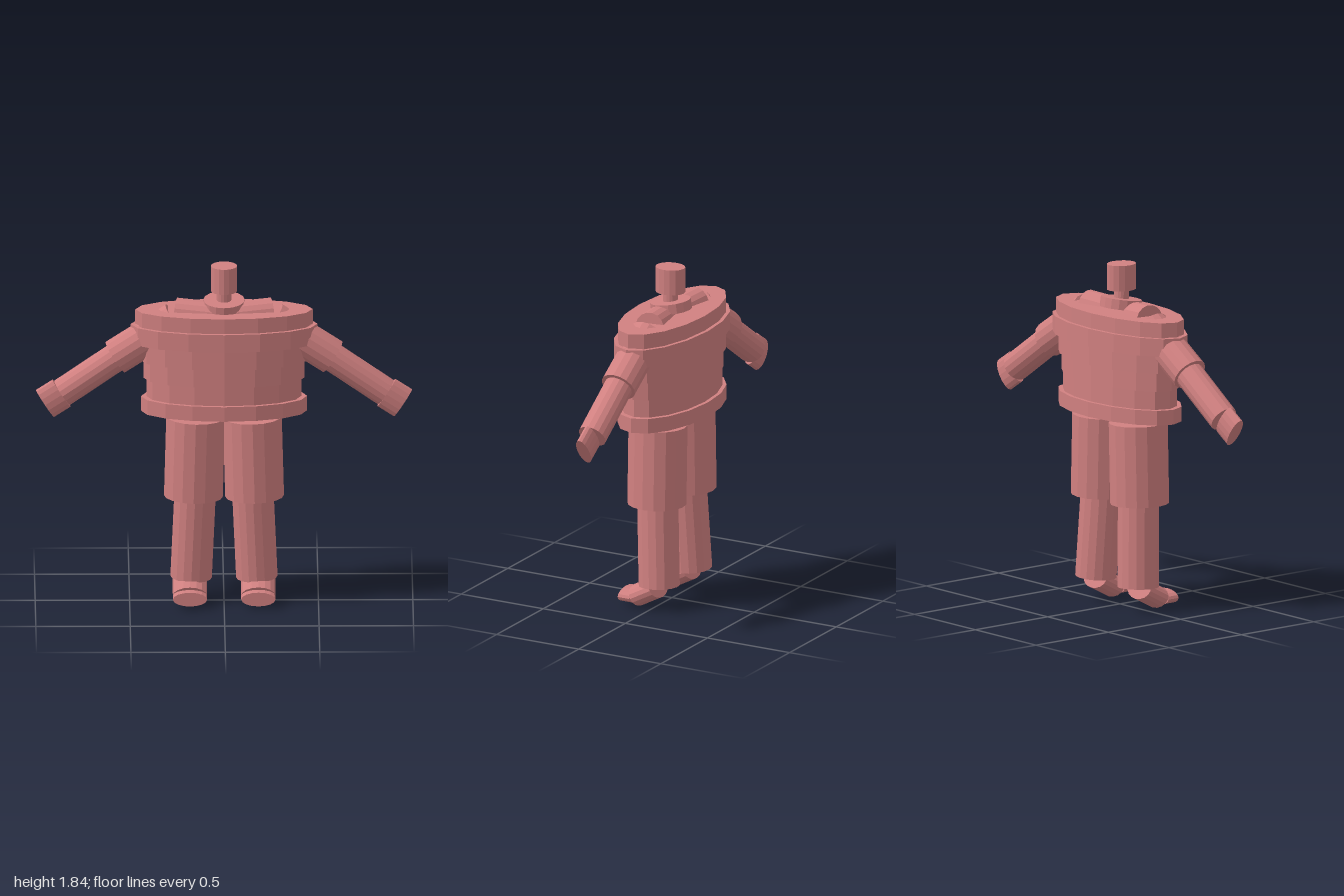
import * as THREE from 'three';

const SIDES = 16;
const UP = new THREE.Vector3(0, 1, 0);

export function createModel() {
  const model = new THREE.Group();
  model.name = 'mannequin';
  const skin = new THREE.MeshStandardMaterial({ color: 0xd08080, flatShading: true });
  skin.name = 'dusty pink';

  // Elliptic cylinder running from point a to point b
  function segment(name, a, b, rx, rz = rx) {
    const start = new THREE.Vector3(...a);
    const end = new THREE.Vector3(...b);
    const axis = end.clone().sub(start);
    const geometry = new THREE.CylinderGeometry(1, 1, axis.length(), SIDES);
    geometry.scale(rx, 1, rz);
    const mesh = new THREE.Mesh(geometry, skin);
    mesh.name = name;
    mesh.position.copy(start).add(end).multiplyScalar(0.5);
    mesh.quaternion.setFromUnitVectors(UP, axis.normalize());
    model.add(mesh);
  }

  // Torso: stacked oval slabs [name, bottom, top, half width, half depth]
  const slabs = [
    ['hips', 1.05, 1.13, 0.44, 0.22],
    ['waist', 1.13, 1.23, 0.41, 0.2],
    ['belly', 1.23, 1.33, 0.425, 0.2],
    ['ribs', 1.33, 1.43, 0.445, 0.213],
    ['chest', 1.43, 1.527, 0.495, 0.22],
    ['upperChest', 1.527, 1.608, 0.47, 0.2],
  ];
  for (const [name, y0, y1, rx, rz] of slabs) segment(name, [0, y0, 0], [0, y1, 0], rx, rz);

  // Neck and head
  segment('neckBase', [0, 1.61, 0.002], [0, 1.663, 0.01], 0.11);
  segment('neck', [0, 1.64, 0.008], [0, 1.72, 0.012], 0.04);
  segment('head', [0, 1.712, 0.01], [0, 1.85, 0.01], 0.07, 0.082);

  // Mirrored limbs: left side is +x
  for (const [side, s] of [['left', 1], ['right', -1]]) {
    segment(side + 'Collarbone', [0, 1.57, 0.03], [s * 0.255, 1.587, -0.009], 0.08);

    // Arm
    segment(side + 'UpperArm', [s * 0.258, 1.55, 0], [s * 0.575, 1.345, 0], 0.097);
    segment(side + 'Forearm', [s * 0.51, 1.387, 0], [s * 0.855, 1.15, 0], 0.078);
    segment(side + 'Hand', [s * 0.86, 1.147, 0], [s * 0.948, 1.09, 0], 0.089, 0.038);

    // Leg
    segment(side + 'Thigh', [s * 0.15, 1.016, 0], [s * 0.162, 0.58, 0], 0.156, 0.158);
    segment(side + 'Shin', [s * 0.153, 0.6, 0], [s * 0.174, 0.13, -0.021], 0.11);

    // Foot
    segment(side + 'Foot', [s * 0.181, 0.122, -0.018], [s * 0.181, 0.058, 0.102], 0.091, 0.06);
    segment(side + 'Toes', [s * 0.181, 0.058, 0.107], [s * 0.181, 0.058, 0.177], 0.091, 0.038);
  }

  return model;
}
